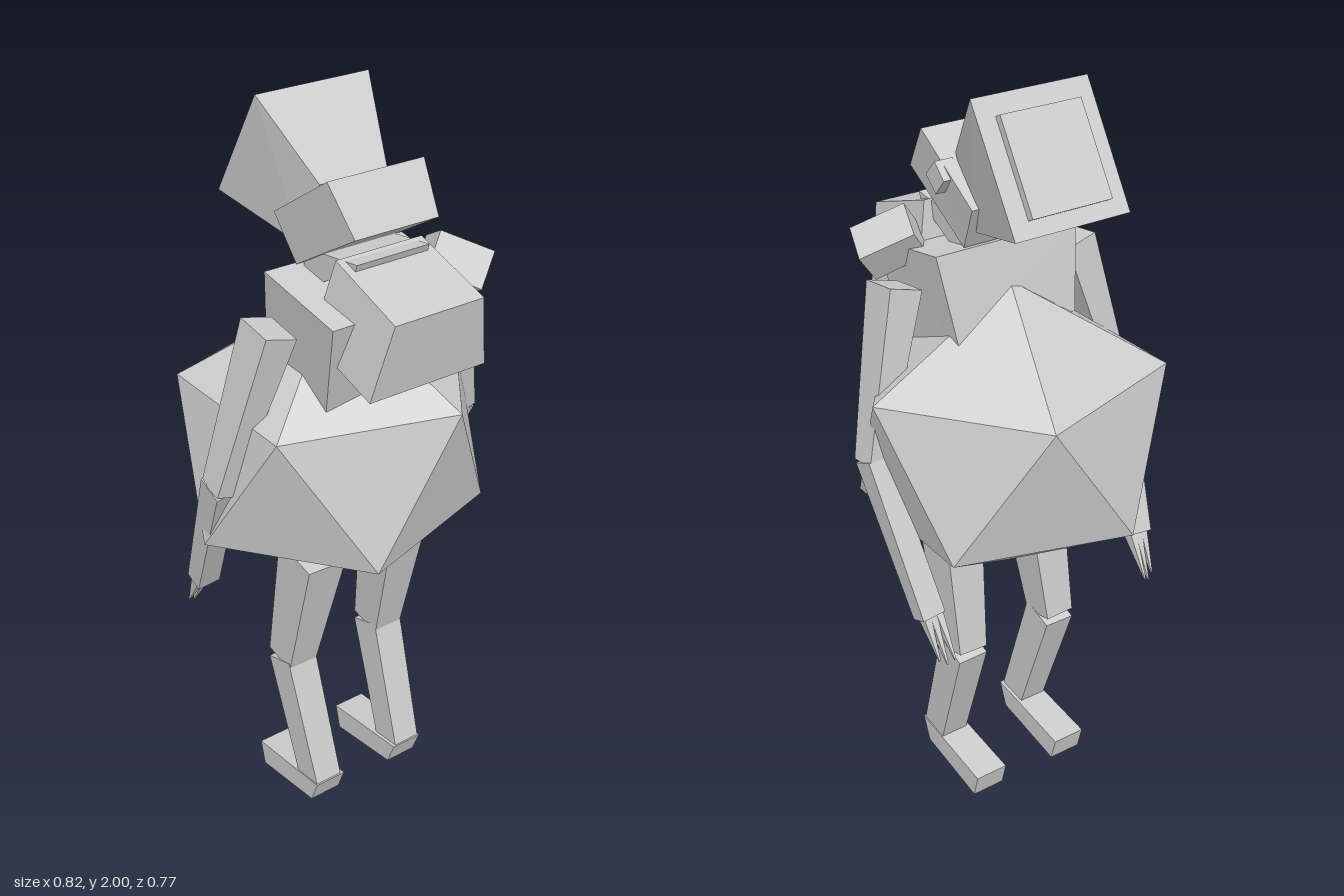
import * as THREE from 'three';

const grey = new THREE.MeshStandardMaterial({ color: 0xcccccc });
grey.name = 'light grey';

function addMesh(parent, name, geometry) {
  const flat = geometry.index ? geometry.toNonIndexed() : geometry;
  flat.computeVertexNormals();
  const mesh = new THREE.Mesh(flat, grey);
  mesh.name = name;
  parent.add(mesh);
  return mesh;
}

// Convex block from a side profile of [z, y, halfWidth] points, centred on x = cx
function block(parent, name, profile, cx = 0) {
  const n = profile.length;
  let area = 0;
  profile.forEach(([z, y], i) => {
    const [z2, y2] = profile[(i + 1) % n];
    area += -z * y2 + z2 * y;
  });
  const pts = area < 0 ? [...profile].reverse() : profile;
  const corner = (i, s) => [cx + s * pts[i % n][2], pts[i % n][1], pts[i % n][0]];
  const pos = [];
  for (let i = 1; i < n - 1; i++) {
    pos.push(...corner(0, 1), ...corner(i, 1), ...corner(i + 1, 1));
    pos.push(...corner(0, -1), ...corner(i + 1, -1), ...corner(i, -1));
  }
  for (let i = 0; i < n; i++) {
    const a = corner(i, 1), b = corner(i, -1), c = corner(i + 1, -1), d = corner(i + 1, 1);
    pos.push(...a, ...b, ...c, ...a, ...c, ...d);
  }
  const g = new THREE.BufferGeometry();
  g.setAttribute('position', new THREE.Float32BufferAttribute(pos, 3));
  return addMesh(parent, name, g);
}

// Tapered square beam from bottom to top; sizes are [width, depth]
function beam(parent, name, bottom, top, sizeBottom, sizeTop) {
  const a = new THREE.Vector3(...bottom), b = new THREE.Vector3(...top);
  const dir = b.clone().sub(a);
  const g = new THREE.BoxGeometry(1, dir.length(), 1);
  const p = g.attributes.position;
  for (let i = 0; i < p.count; i++) {
    const s = p.getY(i) > 0 ? sizeTop : sizeBottom;
    p.setX(i, p.getX(i) * s[0]);
    p.setZ(i, p.getZ(i) * s[1]);
  }
  const mesh = addMesh(parent, name, g);
  mesh.position.copy(a).add(b).multiplyScalar(0.5);
  mesh.quaternion.setFromUnitVectors(new THREE.Vector3(0, 1, 0), dir.normalize());
  return mesh;
}

function buildLeg(side) {
  const leg = new THREE.Group();
  leg.name = side > 0 ? 'leftLeg' : 'rightLeg';
  beam(leg, 'thigh', [side * 0.146, 0.45, -0.02], [side * 0.132, 0.83, 0.06], [0.085, 0.1], [0.115, 0.14]);
  beam(leg, 'shin', [side * 0.138, 0.09, 0.095], [side * 0.146, 0.45, -0.02], [0.08, 0.09], [0.088, 0.1]);
  block(leg, 'foot', [
    [0.143, 0.105, 0.046], [0.115, 0.035, 0.046], [-0.12, 0.0, 0.048], [-0.138, 0.07, 0.048],
  ], side * 0.135);
  return leg;
}

function buildArm(side) {
  const arm = new THREE.Group();
  arm.name = side > 0 ? 'leftArm' : 'rightArm';
  beam(arm, 'upperArm', [side * 0.383, 1.09, 0.02], [side * 0.262, 1.515, 0.08], [0.05, 0.075], [0.09, 0.11]);
  beam(arm, 'forearm', [side * 0.335, 0.71, -0.155], [side * 0.378, 1.1, 0.02], [0.065, 0.055], [0.06, 0.075]);
  // Three thin claws
  for (const k of [-1, 0, 1]) {
    beam(arm, 'claw', [side * (0.328 + k * 0.018), 0.595 + Math.abs(k) * 0.012, -0.225 + k * 0.008],
      [side * (0.333 + k * 0.018), 0.72, -0.152], [0.004, 0.004], [0.022, 0.035]);
  }
  return arm;
}

export function createModel() {
  const model = new THREE.Group();
  model.name = 'robot';

  // Round faceted belly, standing on one of its points
  const belly = new THREE.IcosahedronGeometry(1, 0);
  belly.rotateZ(Math.atan(2 / (1 + Math.sqrt(5))));
  belly.rotateY(Math.PI);
  belly.scale(0.447, 0.41, 0.425);
  belly.translate(0, 1.09, -0.03);
  addMesh(model, 'belly', belly);

  // Chest with the pack on the +z side
  block(model, 'chest', [
    [0.255, 1.56, 0.205], [0.185, 1.312, 0.175], [-0.065, 1.385, 0.175], [-0.02, 1.607, 0.205],
  ]);
  block(model, 'pack', [
    [0.382, 1.6, 0.128], [0.348, 1.405, 0.17], [0.12, 1.475, 0.17], [0.155, 1.676, 0.125],
  ]);
  block(model, 'neck', [
    [0.21, 1.678, 0.105], [0.2, 1.652, 0.105], [0, 1.55, 0.105], [0, 1.65, 0.105],
  ]);

  // Head: rear box and flared hood ending in a square panel
  block(model, 'headBox', [
    [0.14, 1.862, 0.138], [0.222, 1.745, 0.12], [-0.01, 1.607, 0.12], [-0.074, 1.724, 0.138],
  ]);
  block(model, 'hood', [
    [-0.106, 2.0, 0.162], [0.055, 1.82, 0.097], [-0.02, 1.645, 0.097], [-0.28, 1.72, 0.162],
  ]);
  block(model, 'facePanel', [
    [-0.149, 1.967, 0.112], [-0.132, 1.958, 0.112], [-0.259, 1.754, 0.112], [-0.276, 1.763, 0.112],
  ]);
  block(model, 'sideKnob', [
    [0.053, 1.81, 0.025], [0.092, 1.768, 0.025], [0.05, 1.73, 0.025], [0.015, 1.772, 0.025],
  ], 0.132);

  // Box carried on the left shoulder
  beam(model, 'shoulderBox', [0.277, 1.557, 0.198], [0.165, 1.62, 0.13], [0.1, 0.1], [0.09, 0.1]);

  for (const side of [1, -1]) model.add(buildLeg(side), buildArm(side));
  return model;
}
